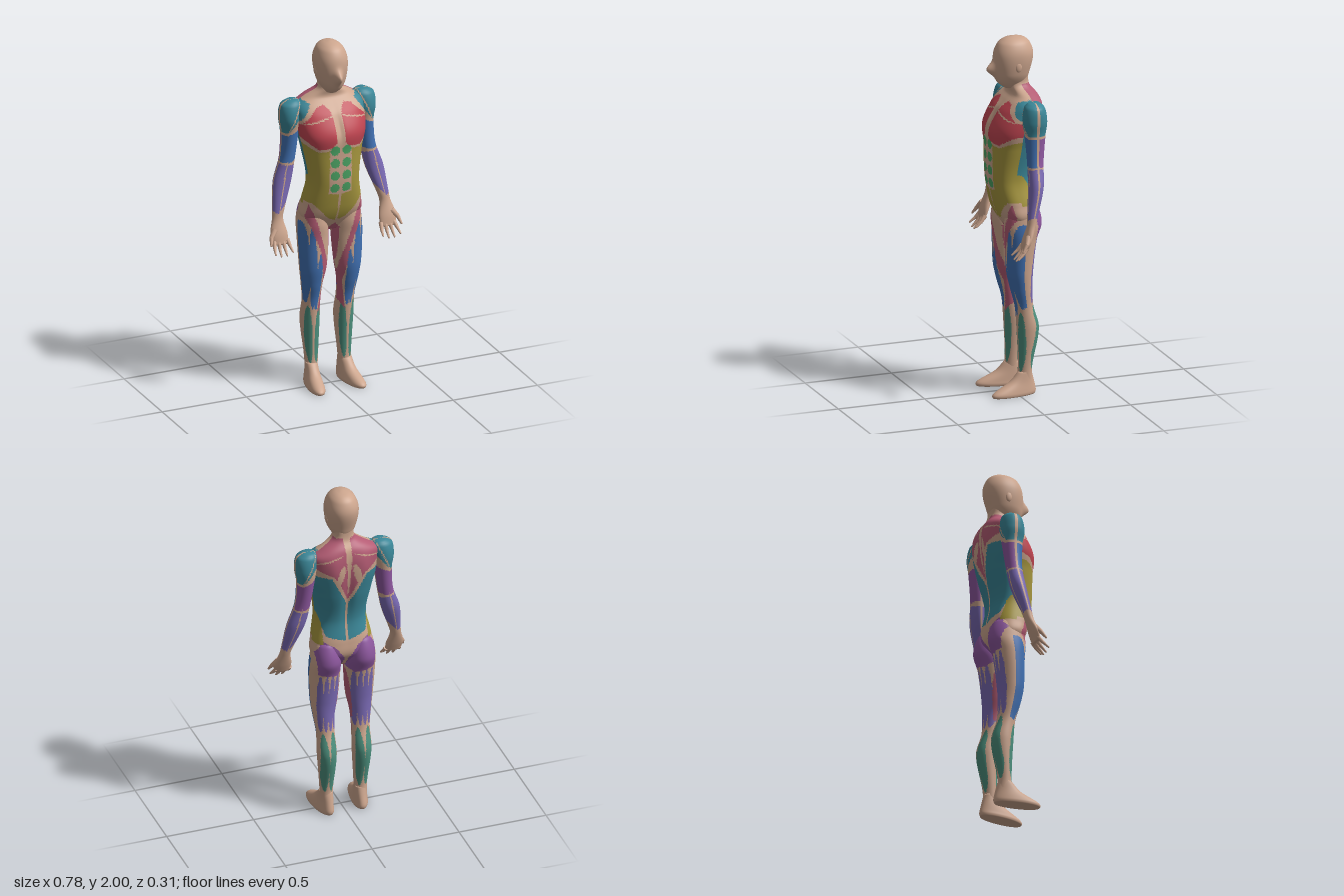
import * as THREE from 'three';

const COLORS = {
  skin: 0xcda68e, chestRed: 0xc24652, teal: 0x3b8798, blue: 0x4272b4, violet: 0x7a6ab4,
  ochre: 0xa8983f, absGreen: 0x4ca565, rose: 0xb45c74, purple: 0x8e589f, calfGreen: 0x4d907e,
};
const NAMES = Object.keys(COLORS);
const MATS = NAMES.map((name) => {
  const m = new THREE.MeshStandardMaterial({ color: COLORS[name] });
  m.name = name;
  return m;
});
const FRONT = 1, BACK = -1;

// Muscle with an elliptical belly from (x0, y0) to (x1, y1), w wide on each side
function belly(color, face, x0, y0, x1, y1, w) {
  const dx = x1 - x0, dy = y1 - y0, len = Math.hypot(dx, dy);
  const hit = (x, y) => {
    const t = ((x - x0) * dx + (y - y0) * dy) / (len * len);
    const off = Math.abs((x - x0) * dy - (y - y0) * dx) / len;
    return t > 0 && t < 1 && off < w * Math.sqrt(4 * t * (1 - t));
  };
  return { color, face, hit };
}

// Sheet muscle with straight edges, given as x, y corners
function sheet(color, face, ...c) {
  const hit = (x, y) => {
    let odd = false;
    for (let i = 0, j = c.length - 2; i < c.length; j = i, i += 2) {
      if ((c[i + 1] > y) !== (c[j + 1] > y) && x < (c[j] - c[i]) * (y - c[i + 1]) / (c[j + 1] - c[i + 1]) + c[i]) odd = !odd;
    }
    return odd;
  };
  return { color, face, hit };
}

// Muscles on both faces of the arm; the first hit wins
const shoulder = [FRONT, BACK].flatMap((f) => [
  belly('skin', f, .17, 1.68, .25, 1.5, .004),
  sheet('teal', f, .13, 1.66, .2, 1.7, .4, 1.7, .4, 1.51, .25, 1.5, .175, 1.595),
]);
const armMuscles = [...shoulder, ...[FRONT, BACK].flatMap((f) => [
  belly('skin', f, .25, 1.34, .315, 1.05, .004),
  sheet(f === FRONT ? 'blue' : 'purple', f, .1, 1.56, .25, 1.485, .4, 1.5, .4, 1.35, .25, 1.325, .1, 1.36),
  sheet('violet', f, .15, 1.3, .4, 1.335, .4, 1.1, .32, 1.05, .25, 1.13),
])];

const torsoMuscles = [
  ...[0, 1, 2, 3].map((i) => belly('absGreen', FRONT, .034, 1.442 - i * .074, .034, 1.388 - i * .074, .026)),
  belly('skin', FRONT, .02, 1.6, .19, 1.56, .004),
  sheet('chestRed', FRONT, .025, 1.46, .03, 1.62, .06, 1.655, .1, 1.645, .21, 1.54, .2, 1.49, .12, 1.425, .05, 1.435),
  sheet('ochre', FRONT, .064, 1.418, .12, 1.41, .2, 1.46, .3, 1.1, .14, 1.1, .05, 1, .005, .98, .005, 1.155, .066, 1.16),
  sheet('ochre', BACK, .128, 1.08, .128, 1.2, .155, 1.29, .3, 1.09),
  belly('skin', BACK, .03, 1.6, .065, 1.47, .02),
  belly('skin', BACK, .03, 1.66, .2, 1.61, .004),
  sheet('rose', BACK, 0, 1.36, .055, 1.49, .09, 1.54, .2, 1.595, .2, 1.665, .06, 1.74, .02, 1.74, .015, 1.62),
  sheet('teal', BACK, .007, 1.1, .007, 1.34, .1, 1.53, .3, 1.54, .3, 1.33, .155, 1.29, .115, 1.13),
  ...shoulder,
];

const legMuscles = [
  sheet('rose', FRONT, .155, 1.09, .17, 1.02, .085, .8, .058, .6, .082, .42, .03, .5, .035, .72, .11, .98),
  sheet('rose', FRONT, 0, .96, .035, .92, .025, .72, 0, .62),
  belly('blue', FRONT, .178, .98, .145, .49, .021),
  belly('blue', FRONT, .137, .97, .11, .45, .019),
  belly('blue', FRONT, .086, .79, .093, .44, .017),
  belly('calfGreen', FRONT, .135, .47, .117, .13, .018),
  belly('calfGreen', FRONT, .07, .47, .083, .13, .018),
  sheet('purple', BACK, .012, .9, .01, .98, .06, 1.06, .13, 1.1, .172, 1.03, .16, .9, .05, .875),
  belly('rose', BACK, .012, .88, .05, .56, .008),
  ...[0, 1, 2, 3].map((i) => belly('violet', BACK, .046 + i * .034, .89, .06 + i * .026, .52, .016)),
  belly('calfGreen', BACK, .072, .51, .082, .14, .022),
  belly('calfGreen', BACK, .128, .51, .118, .14, .022),
];
const trunkMuscles = [...torsoMuscles, ...legMuscles];

// Smooth body from rows [y, half width, front z, back z, centre x], listed top down
function loft(name, rows, { n = 48, step = .0075, power = 2, muscles = [], sideSeam = 0, bumps = [], side = 1, turn = 0 } = {}) {
  const slope = (i, k) => {
    const a = rows[Math.max(i - 1, 0)], b = rows[Math.min(i + 1, rows.length - 1)];
    return (b[k] - a[k]) / (b[0] - a[0]);
  };
  const rings = [rows[0]];
  for (let i = 0; i < rows.length - 1; i++) {
    const p = rows[i], q = rows[i + 1], dy = q[0] - p[0], steps = Math.max(2, Math.ceil(-dy / step));
    for (let j = 1; j <= steps; j++) {
      const t = j / steps, t2 = t * t, t3 = t2 * t;
      rings.push(p.map((v, k) => k === 0 ? v + dy * t
        : (2 * t3 - 3 * t2 + 1) * v + (t3 - 2 * t2 + t) * dy * slope(i, k) + (3 * t2 - 2 * t3) * q[k] + (t3 - t2) * dy * slope(i + 1, k)));
    }
  }
  const pos = [], sines = [], faces = MATS.map(() => []);
  const add = (x, y, z, s) => {
    pos.push(side * (x + turn * (z + .05)), y, z);
    sines.push(s);
  };
  for (const [y, hw, zf, zb, cx = 0] of rings) {
    for (let j = 0; j < n; j++) {
      const a = j / n * Math.PI * 2, c = Math.cos(a), s = Math.sin(a);
      const r = 1 / Math.pow(Math.abs(c) ** power + Math.abs(s) ** power, 1 / power);
      const x = cx + hw * r * c;
      let z = (zf + zb) / 2 + (zf - zb) / 2 * r * s;
      for (const [bx, by, rx, ry, d, f] of bumps) {
        if (s * f > 0) z += f * d * Math.abs(s) * Math.exp(-(((Math.abs(x) - bx) / rx) ** 2) - ((y - by) / ry) ** 2);
      }
      add(x, y, z, s);
    }
  }
  const tri = (a, b, c) => {
    const mean = (k) => (pos[a * 3 + k] + pos[b * 3 + k] + pos[c * 3 + k]) / 3;
    const s = (sines[a] + sines[b] + sines[c]) / 3, x = Math.abs(mean(0)), y = mean(1);
    const muscle = Math.abs(s) >= sideSeam && muscles.find((m) => m.face * s >= 0 && m.hit(x, y));
    faces[muscle ? NAMES.indexOf(muscle.color) : 0].push(...(side > 0 ? [a, b, c] : [a, c, b]));
  };
  const last = (rings.length - 1) * n, top = rings.length * n;
  for (const [y, , zf, zb, cx = 0] of [rings[0], rings[rings.length - 1]]) add(cx, y, (zf + zb) / 2, 0);
  for (let j = 0; j < n; j++) {
    const k = (j + 1) % n;
    for (let i = 0; i < last; i += n) {
      tri(i + j, i + k, i + n + j);
      tri(i + k, i + n + k, i + n + j);
    }
    tri(top, k, j);
    tri(top + 1, last + j, last + k);
  }
  const g = new THREE.BufferGeometry();
  g.setAttribute('position', new THREE.Float32BufferAttribute(pos, 3));
  g.setIndex(faces.flat());
  let start = 0;
  faces.forEach((f, m) => {
    if (f.length) g.addGroup(start, f.length, m);
    start += f.length;
  });
  g.computeVertexNormals();
  const mesh = new THREE.Mesh(g, MATS);
  mesh.name = name;
  return mesh;
}

// Tapered finger joint with a rounded end
function joint(a, b, ra, rb) {
  const p = new THREE.Vector3(...a), q = new THREE.Vector3(...b), d = q.clone().sub(p), g = new THREE.Group();
  const bone = new THREE.Mesh(new THREE.CylinderGeometry(rb, ra, d.length(), 10), MATS[0]);
  bone.position.copy(p).lerp(q, .5);
  bone.quaternion.setFromUnitVectors(new THREE.Vector3(0, 1, 0), d.normalize());
  const tip = new THREE.Mesh(new THREE.SphereGeometry(rb, 10, 8), MATS[0]);
  tip.position.copy(q);
  g.add(bone, tip);
  g.name = 'fingerJoint';
  return g;
}

export function createModel() {
  const model = new THREE.Group();
  model.name = 'anatomyFigure';

  // Torso and neck, with breastbone and spine grooves and shoulder blades
  model.add(loft('torso', [
    [1.8, .058, .02, -.092], [1.73, .064, .016, -.098], [1.685, .135, .01, -.13], [1.65, .19, .04, -.142],
    [1.6, .196, .085, -.148], [1.5, .19, .14, -.147], [1.4, .167, .138, -.132], [1.22, .143, .135, -.093],
    [1.08, .167, .108, -.112], [1, .172, .078, -.108], [.91, .08, .02, -.04],
  ], {
    n: 140, power: 2.5, muscles: trunkMuscles,
    bumps: [[0, 1.53, .02, .07, -.012, FRONT], [0, 1.4, .03, .2, -.014, BACK], [.09, 1.57, .045, .08, .01, BACK]],
  }));

  // Head with a simple nose
  model.add(loft('head', [
    [2, .012, 0, -.03], [1.992, .04, .035, -.07], [1.965, .071, .073, -.103], [1.9, .091, .098, -.122],
    [1.8, .08, .094, -.1], [1.75, .058, .08, -.08], [1.715, .03, .04, -.03],
  ], { n: 72, power: 2.15, bumps: [[0, 1.825, .022, .036, .046, FRONT]] }));

  for (const side of [1, -1]) {
    const label = side > 0 ? 'left' : 'right';

    const ear = new THREE.Mesh(new THREE.SphereGeometry(1, 16, 12), MATS[0]);
    ear.scale.set(.008, .028, .018);
    ear.position.set(side * .086, 1.845, -.012);
    ear.name = label + 'Ear';
    model.add(ear);

    // Arm down to the palm
    model.add(loft(label + 'Arm', [
      [1.677, .03, -.025, -.085, .205], [1.655, .06, 0, -.108, .212], [1.58, .062, .016, -.121, .221], [1.5, .05, .005, -.112, .222],
      [1.35, .044, -.004, -.094, .238], [1.22, .052, .002, -.08, .272], [1.07, .034, .022, -.035, .308], [1.02, .031, .028, -.02, .318],
      [.94, .05, .052, .01, .322], [.885, .044, .062, .034, .318],
    ], { muscles: armMuscles, sideSeam: .09, side }));

    // Fingers and thumb
    const hand = new THREE.Group();
    hand.name = label + 'Fingers';
    for (let i = 0; i < 4; i++) {
      const x = .278 + i * .025, spread = (i - 1.2) * .009, tip = i % 3 ? .834 : .849;
      const mid = [side * (x + spread * .6), .45 + tip / 2, .067];
      hand.add(joint([side * x, .905, .042], mid, .013, .009), joint(mid, [side * (x + spread), tip, .097], .009, .005));
    }
    const knuckle = [side * .374, .93, .05];
    hand.add(joint([side * .345, .965, .03], knuckle, .018, .012), joint(knuckle, [side * .386, .895, .075], .012, .006));
    model.add(hand);

    // Leg from hip to ankle
    model.add(loft(label + 'Leg', [
      [1.1, .02, 0, -.07, .1], [1.07, .06, .05, -.108, .1], [.97, .082, .074, -.135, .1], [.88, .087, .068, -.106, .1],
      [.7, .076, .062, -.083, .102], [.6, .06, .042, -.081, .105], [.5, .051, .015, -.087, .101], [.37, .053, .004, -.12, .1],
      [.15, .037, -.004, -.082, .098], [.04, .032, .01, -.09, .1],
    ], { n: 64, muscles: trunkMuscles, side }));

    // Foot, turned slightly outward
    model.add(loft(label + 'Foot', [
      [.13, .034, -.005, -.08, .098], [.075, .038, .05, -.094, .098], [.028, .045, .14, -.105, .1],
      [.012, .047, .156, -.105, .1], [0, .044, .152, -.1, .1],
    ], { n: 56, power: 2.2, side, turn: .12 }));
  }
  return model;
}
